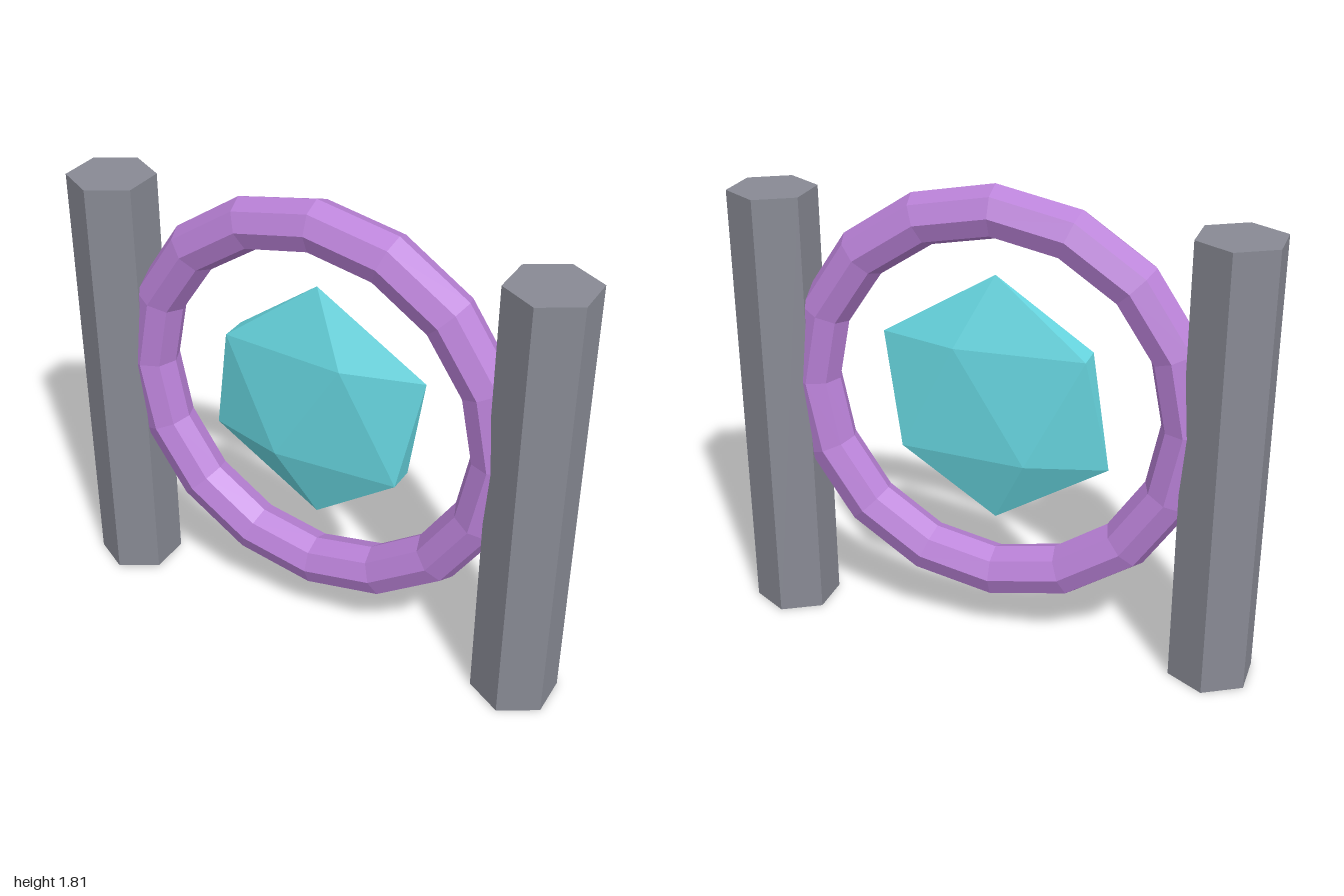
import * as THREE from 'three';

const CENTER_Y = 0.99;

function part(name, geometry, color) {
  const material = new THREE.MeshStandardMaterial({ color, flatShading: true });
  const mesh = new THREE.Mesh(geometry, material);
  mesh.name = name;
  return mesh;
}

export function createModel() {
  const model = new THREE.Group();
  model.name = 'crystalGate';

  // Hexagonal stone pillars, flat sides facing the ring
  const height = 1.71, radius = 0.165;
  const pillarX = 1 - radius * Math.cos(Math.PI / 6);
  for (const [name, side] of [['leftPillar', 1], ['rightPillar', -1]]) {
    const pillar = part(name, new THREE.CylinderGeometry(radius, radius, height, 6), 0x888a94);
    pillar.position.set(side * pillarX, height / 2, 0);
    model.add(pillar);
  }

  // Faceted ring, its sides sunk into the pillars
  const ring = part('ring', new THREE.TorusGeometry(0.72, 0.099, 8, 16), 0xba82d8);
  ring.position.y = CENTER_Y;
  model.add(ring);

  // Floating crystal: an icosahedron stood on a corner and flattened front to back
  const crystalGeometry = new THREE.IcosahedronGeometry(0.487, 0);
  crystalGeometry.rotateZ(-Math.atan(2 / (1 + Math.sqrt(5))));
  crystalGeometry.scale(1, 1, 0.2);
  const crystal = part('crystal', crystalGeometry, 0x68d8e2);
  crystal.position.y = CENTER_Y;
  model.add(crystal);

  return model;
}
